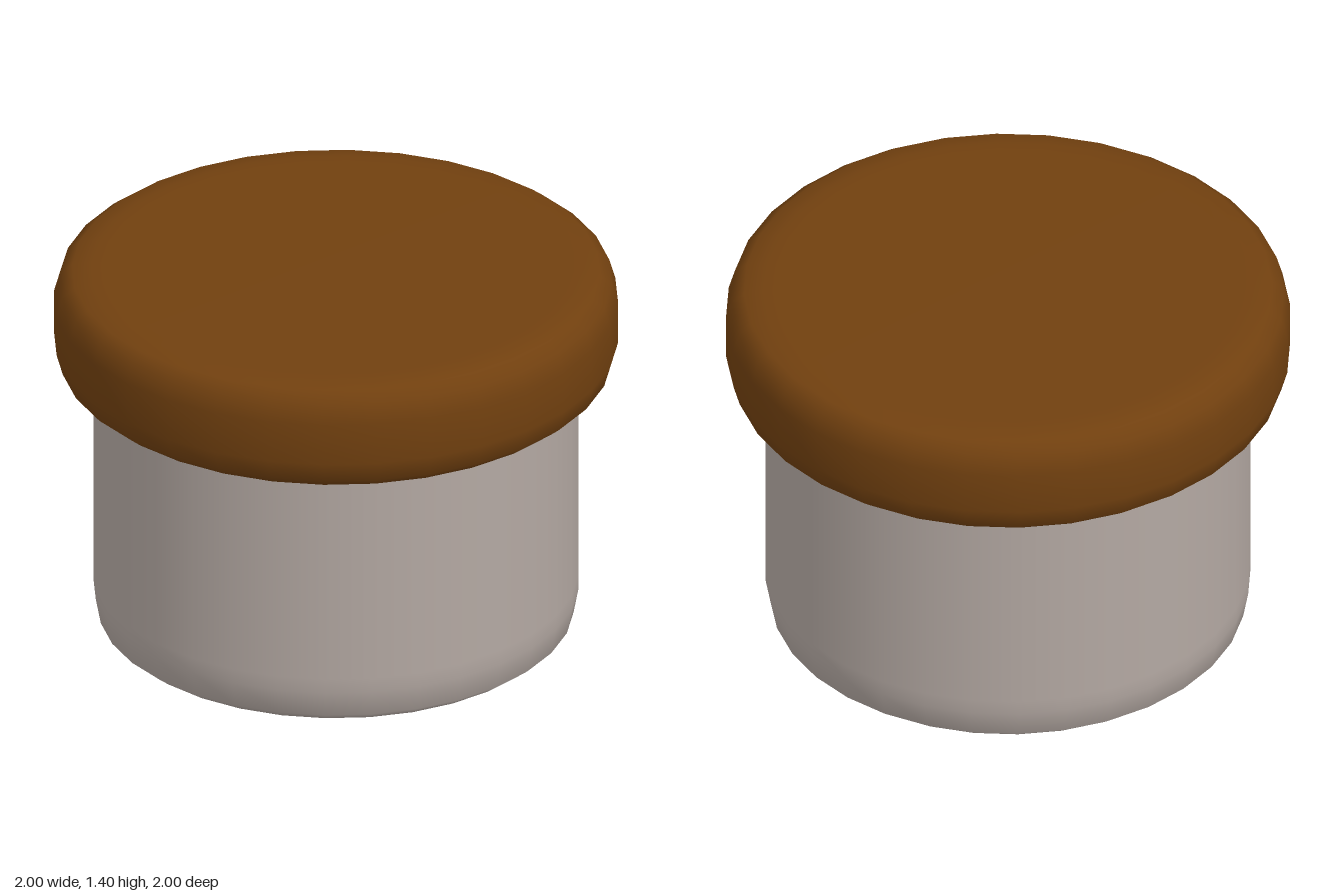
import * as THREE from 'three';

const SIDES = 32;

// Smooth solid of revolution from [radius, height] points, listed bottom to top
function turned(name, profile, material) {
  const points = profile.map(([r, y]) => new THREE.Vector2(r, y));
  const mesh = new THREE.Mesh(new THREE.LatheGeometry(points, SIDES), material);
  mesh.name = name;
  return mesh;
}

export function createModel() {
  const group = new THREE.Group();
  group.name = 'lidded jar';

  const stone = new THREE.MeshStandardMaterial({ color: 0xb3a8a2 });
  stone.name = 'warm grey';
  const wood = new THREE.MeshStandardMaterial({ color: 0x71400f });
  wood.name = 'brown';

  // Straight-walled body with a rounded foot
  group.add(turned('body', [
    [0, 0], [0.7, 0], [0.75, 0.003], [0.8, 0.015], [0.842, 0.048],
    [0.86, 0.145], [0.86, 0.2], [0.86, 1.01],
  ], stone));

  // Overhanging lid, rounded above and below
  group.add(turned('lid', [
    [0, 1.0], [0.82, 1.0], [0.87, 1.003], [0.935, 1.012], [0.978, 1.047], [1, 1.125],
    [1, 1.28], [0.978, 1.355], [0.935, 1.388], [0.87, 1.398], [0.82, 1.4], [0, 1.4],
  ], wood));

  return group;
}
